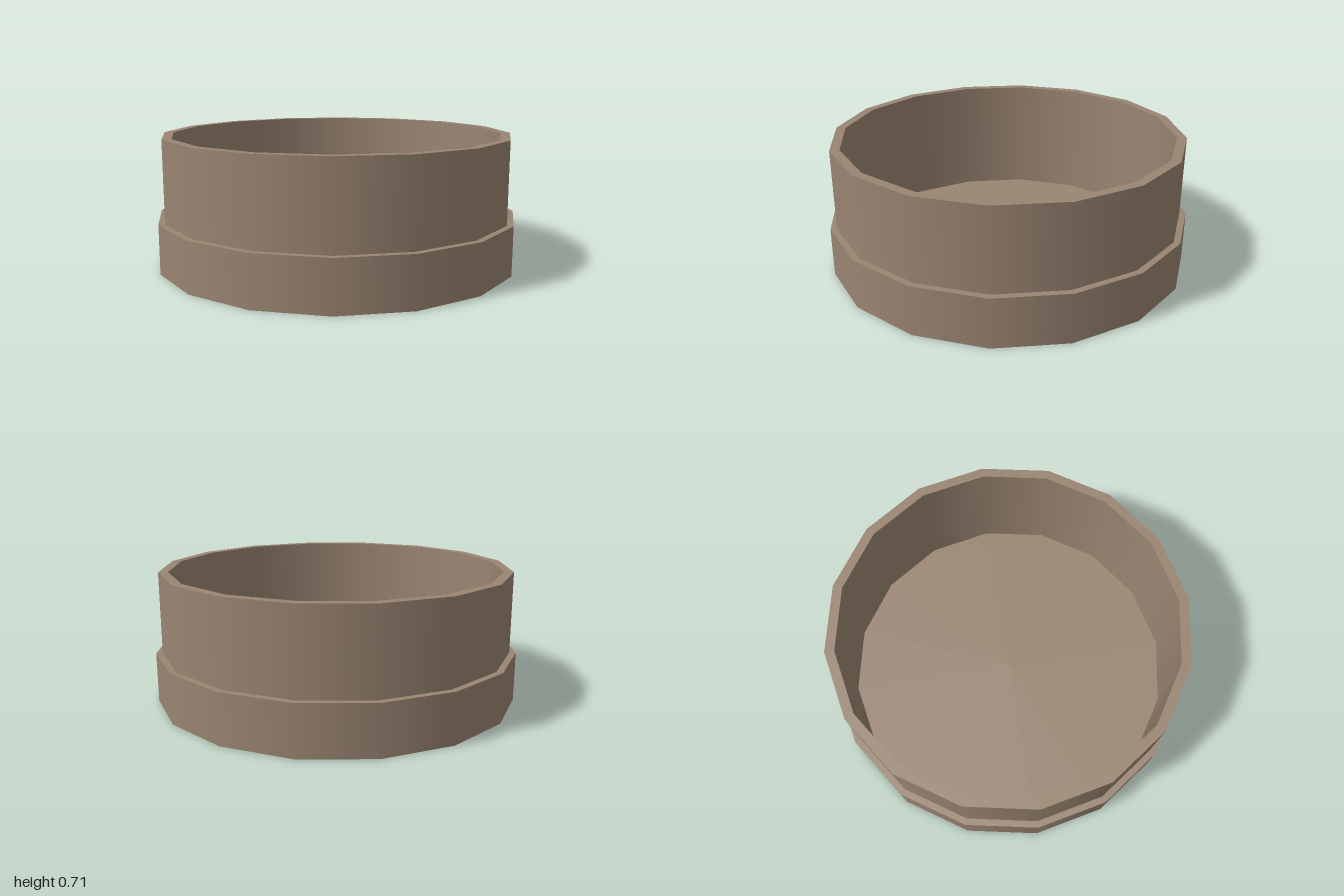
import * as THREE from 'three';
import { mergeGeometries } from 'three/addons/utils/BufferGeometryUtils.js';

const SIDES = 16;

// Revolve each profile segment on its own: smooth around, sharp between bands
function revolve(points) {
  const bands = [];
  for (let i = 0; i < points.length - 1; i++) {
    const pair = [points[i], points[i + 1]].map(([r, y]) => new THREE.Vector2(r, y));
    bands.push(new THREE.LatheGeometry(pair, SIDES));
  }
  return mergeGeometries(bands);
}

export function createModel() {
  const group = new THREE.Group();
  group.name = 'roundTin';
  const color = 0x9a8572;

  const rOuter = 1, rWall = 0.965, rInner = 0.913;
  const yFloor = 0.057, yLedge = 0.27, yTop = 0.715;

  // Stepped ring wall: foot, base band, ledge, upper wall, rim and inside
  const wall = new THREE.Mesh(
    revolve([
      [rInner, 0], [rOuter, 0], [rOuter, yLedge], [rWall, yLedge],
      [rWall, yTop], [rInner, yTop], [rInner, 0],
    ]),
    new THREE.MeshStandardMaterial({ color })
  );
  wall.name = 'steppedWall';
  group.add(wall);

  // Thin floor, raised slightly above the foot of the wall
  const floor = new THREE.Mesh(
    new THREE.CircleGeometry(rInner, SIDES).rotateX(-Math.PI / 2),
    new THREE.MeshStandardMaterial({ color, side: THREE.DoubleSide })
  );
  floor.name = 'floor';
  floor.position.y = yFloor;
  group.add(floor);

  return group;
}
